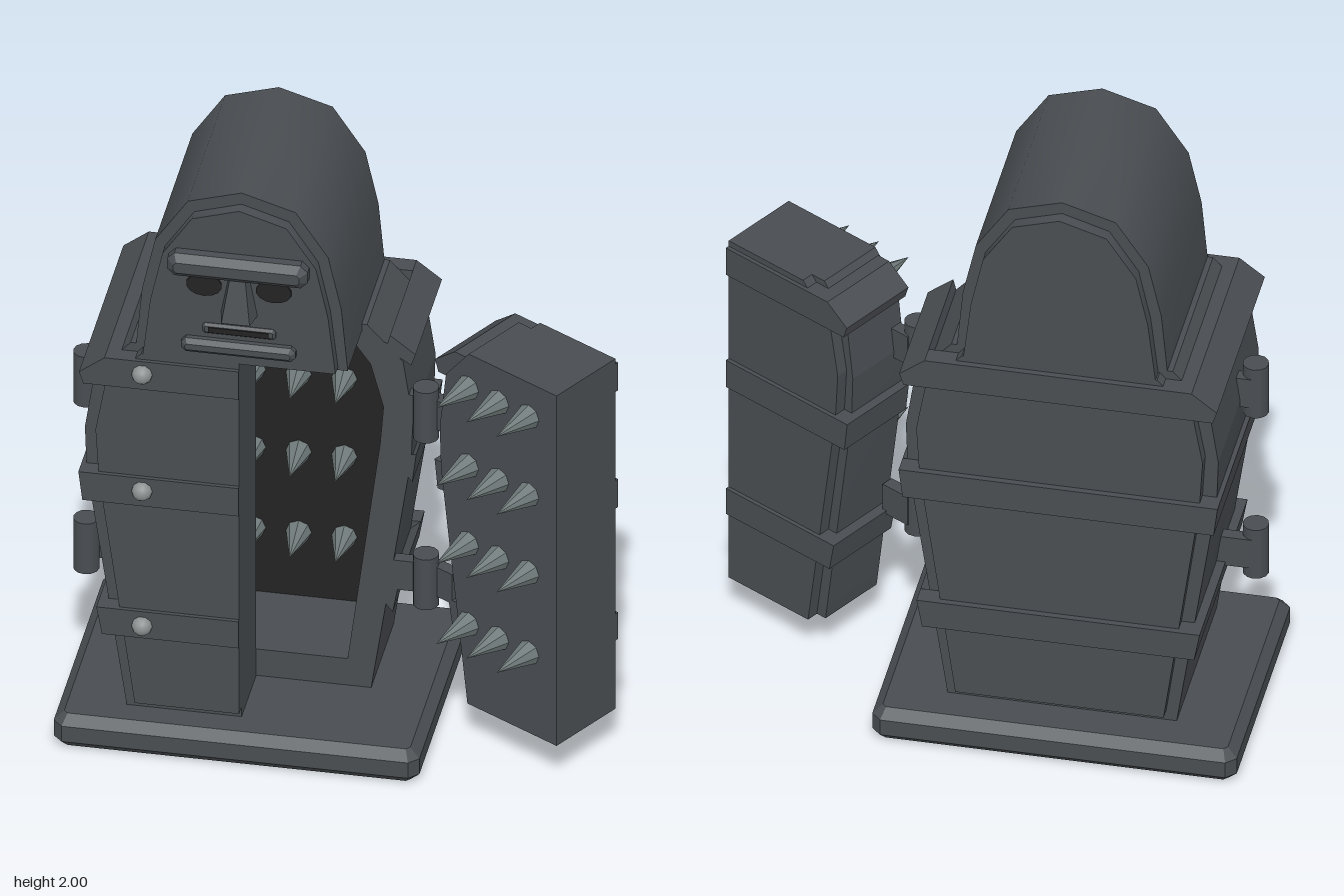
import * as THREE from 'three';
import { toCreasedNormals } from 'three/addons/utils/BufferGeometryUtils.js';

const mat = (name, color) => {
  const m = new THREE.MeshStandardMaterial({ color });
  m.name = name;
  return m;
};

export function createModel() {
  const iron = mat('dark iron', 0x494d51);
  const black = mat('black interior', 0x232323);
  const spikeMetal = mat('spike steel', 0x6f7979);
  const rivetMetal = mat('rivet steel', 0x8d9192);

  const root = new THREE.Group();
  const body = new THREE.Group();
  body.name = 'cabinet';
  body.position.x = -0.28;
  root.add(body);

  const add = (parent, name, geo, m, x = 0, y = 0, z = 0) => {
    const mesh = new THREE.Mesh(geo, m);
    mesh.name = name;
    mesh.position.set(x, y, z);
    parent.add(mesh);
    return mesh;
  };

  // closed outline from [halfWidth, y] points; lo and hi clamp it to one half
  const outline = (pts, lo = -1, hi = 1) => [
    ...pts.map(([h, y]) => new THREE.Vector2(h * hi, y)),
    ...[...pts].reverse().map(([h, y]) => new THREE.Vector2(h * lo, y)),
  ];
  const slab = (parent, name, pts, z0, z1, lo = -1, hi = 1, m = iron, hole = null) => {
    const shape = new THREE.Shape(outline(pts, lo, hi));
    if (hole) shape.holes.push(new THREE.Path(outline(hole)));
    const geo = new THREE.ExtrudeGeometry(shape, { depth: z1 - z0, bevelEnabled: false });
    return add(parent, name, toCreasedNormals(geo, 0.15), m, 0, 0, z0);
  };

  // box with chamfered edges, centred
  const chamferBox = (w, h, d, c) => {
    const a = w / 2 - c, b = h / 2 - c, k = c * 0.4;
    const s = new THREE.Shape([
      [a, -b + k], [a, b - k], [a - k, b], [-a + k, b],
      [-a, b - k], [-a, -b + k], [-a + k, -b], [a - k, -b],
    ].map((p) => new THREE.Vector2(...p)));
    const g = new THREE.ExtrudeGeometry(s, {
      depth: d - 2 * c, bevelSize: c, bevelThickness: c, bevelSegments: 1,
    });
    return g.translate(0, 0, c - d / 2);
  };

  const spike = (parent, x, y, z, dir) => {
    const g = new THREE.ConeGeometry(0.04, 0.15, 8).toNonIndexed();
    g.computeVertexNormals();
    g.translate(0, 0.075, 0).rotateX(dir * Math.PI / 2);
    add(parent, 'spike', g, spikeMetal, x, y, z);
  };

  // profiles as [halfWidth, y]
  const shellPts = [[0.35, 0.1], [0.475, 0.95], [0.48, 1.1], [0.45, 1.3], [0.34, 1.42]];
  const doorPts = [[0.355, 0.15], [0.46, 0.95], [0.465, 1.1], [0.44, 1.3], [0.35, 1.41]];
  const panelPts = [[0.32, 0.15], [0.43, 0.95], [0.44, 1.12], [0.41, 1.29], [0.30, 1.41]];
  const holePts = [[0.28, 0.21], [0.38, 1.0], [0.39, 1.13], [0.35, 1.28], [0.26, 1.405]];
  const bands = [
    [[0.418, 0.395], [0.435, 0.49]],
    [[0.478, 0.87], [0.49, 0.97]],
    [[0.475, 1.29], [0.488, 1.33], [0.41, 1.39]],
  ];
  const spikeRows = [0.44, 0.73, 1.01, 1.29];
  const SEAM = 0.08;

  // plinth
  const base = chamferBox(1.12, 0.84, 0.115, 0.03).rotateX(Math.PI / 2);
  add(body, 'plinth', base, iron, 0, 0.0575, 0);

  // hollow rear shell, back wall and black lining
  slab(body, 'rearShell', shellPts, -0.24, SEAM, -1, 1, iron, holePts);
  slab(body, 'backWall', shellPts, -0.28, -0.24);
  slab(body, 'backPanel', panelPts, -0.32, -0.28);
  slab(body, 'cavityLining', holePts, -0.24, -0.232, -1, 1, black);
  for (const y of spikeRows)
    for (const x of [-0.21, -0.07, 0.07, 0.21]) spike(body, x, y, -0.235, 1);

  // closed front half
  slab(body, 'closedDoor', shellPts, SEAM, 0.31, -1, 0);
  slab(body, 'closedDoorPanel', panelPts, 0.31, 0.35, -1, 0);

  // bands round the rear shell: back strap, side straps, closed-door strap
  for (const pts of bands) {
    slab(body, 'backBand', pts, -0.34, -0.28);
    slab(body, 'closedDoorBand', pts, SEAM, 0.363, -1, 0);
    const inner = pts.map(([h, y]) => [Math.min(h - 0.06, 0.39 + (h - 0.48)), y]);
    for (const s of [-1, 1]) {
      const ring = [...pts, ...inner.reverse()].map(([h, y]) => new THREE.Vector2(s * h, y));
      const g = new THREE.ExtrudeGeometry(new THREE.Shape(ring), {
        depth: SEAM + 0.28, bevelEnabled: false,
      });
      add(body, 'sideBand', g, iron, 0, 0, -0.28);
    }
  }

  // rivets on the closed door
  for (const y of [0.44, 0.925, 1.345]) {
    const g = new THREE.SphereGeometry(0.032, 10, 5, 0, Math.PI * 2, 0, Math.PI / 2);
    add(body, 'rivet', g.rotateX(Math.PI / 2), rivetMetal, -0.295, y, 0.362);
  }

  // hinges on both sides
  for (const s of [-1, 1])
    for (const y of [0.53, 1.13]) {
      add(body, 'hingePin', new THREE.CylinderGeometry(0.04, 0.04, 0.18, 12), iron, s * 0.52, y, SEAM);
      add(body, 'hingeLeaf', new THREE.BoxGeometry(0.12, 0.105, 0.04), iron, s * 0.455, y, SEAM - 0.02);
    }

  // open door, modelled shut and swung about its hinge pin
  const pivot = new THREE.Group();
  pivot.name = 'openDoor';
  pivot.position.set(0.52, 0, SEAM);
  pivot.rotation.y = THREE.MathUtils.degToRad(150);
  body.add(pivot);
  const door = new THREE.Group();
  door.position.set(-0.52, 0, -SEAM);
  pivot.add(door);
  slab(door, 'doorBlock', doorPts, SEAM, 0.31, 0, 1);
  slab(door, 'doorPanel', panelPts, 0.31, 0.35, 0, 1);
  for (const pts of bands) slab(door, 'doorBand', pts, SEAM + 0.005, 0.363, 0, 1);
  for (const y of spikeRows)
    for (const x of [0.11, 0.23, 0.35]) spike(door, x, y, SEAM, -1);
  for (const y of [0.53, 1.13])
    add(door, 'doorHingeLeaf', new THREE.BoxGeometry(0.1, 0.105, 0.04), iron, 0.47, y, SEAM + 0.025);

  // head: arched hood with a thinner raised plate front and back
  const headPts = [[0.325, 1.4], [0.305, 1.62], [0.265, 1.8], [0.165, 1.95], [0, 2]];
  const facePts = [[0.295, 1.41], [0.272, 1.61], [0.235, 1.78], [0.145, 1.915], [0, 1.96]];
  const arch = (name, pts, z0, z1) => {
    const s = new THREE.Shape([...outline(pts.slice(0, 4)).slice(0, 4),
      new THREE.Vector2(...pts[4]), ...outline(pts.slice(0, 4)).slice(4)]);
    const g = new THREE.ExtrudeGeometry(s, { depth: z1 - z0, bevelEnabled: false });
    add(body, name, toCreasedNormals(g, 0.8), iron, 0, 0, z0);
  };
  arch('hood', headPts, -0.28, 0.31);
  arch('facePlate', facePts, 0.31, 0.35);
  arch('hoodBackPlate', facePts, -0.32, -0.28);

  // face
  add(body, 'brow', chamferBox(0.43, 0.08, 0.08, 0.022), iron, 0, 1.765, 0.36);
  add(body, 'lowerLip', chamferBox(0.35, 0.048, 0.06, 0.014), iron, 0, 1.472, 0.35);
  add(body, 'mouthRim', chamferBox(0.225, 0.036, 0.03, 0.008), iron, 0, 1.53, 0.345);
  add(body, 'mouth', new THREE.BoxGeometry(0.185, 0.018, 0.008), black, 0, 1.53, 0.36);
  for (const s of [-1, 1]) {
    const eye = new THREE.CylinderGeometry(0.055, 0.055, 0.008, 14).rotateX(Math.PI / 2).scale(1, 0.7, 1);
    add(body, 'eye', eye, black, s * 0.107, 1.685, 0.352);
  }

  // nose: tapered block, wider and further forward at the bottom
  const nose = new THREE.BoxGeometry(1, 0.15, 1).toNonIndexed();
  const p = nose.attributes.position;
  for (let i = 0; i < p.count; i++) {
    const low = p.getY(i) < 0, front = p.getZ(i) > 0;
    const w = (low ? 0.058 : 0.03) * (front ? 0.75 : 1);
    p.setX(i, Math.sign(p.getX(i)) * w);
    p.setZ(i, front ? (low ? 0.41 : 0.375) : 0.34);
  }
  nose.computeVertexNormals();
  add(body, 'nose', nose, iron, 0, 1.665, 0);

  return root;
}
